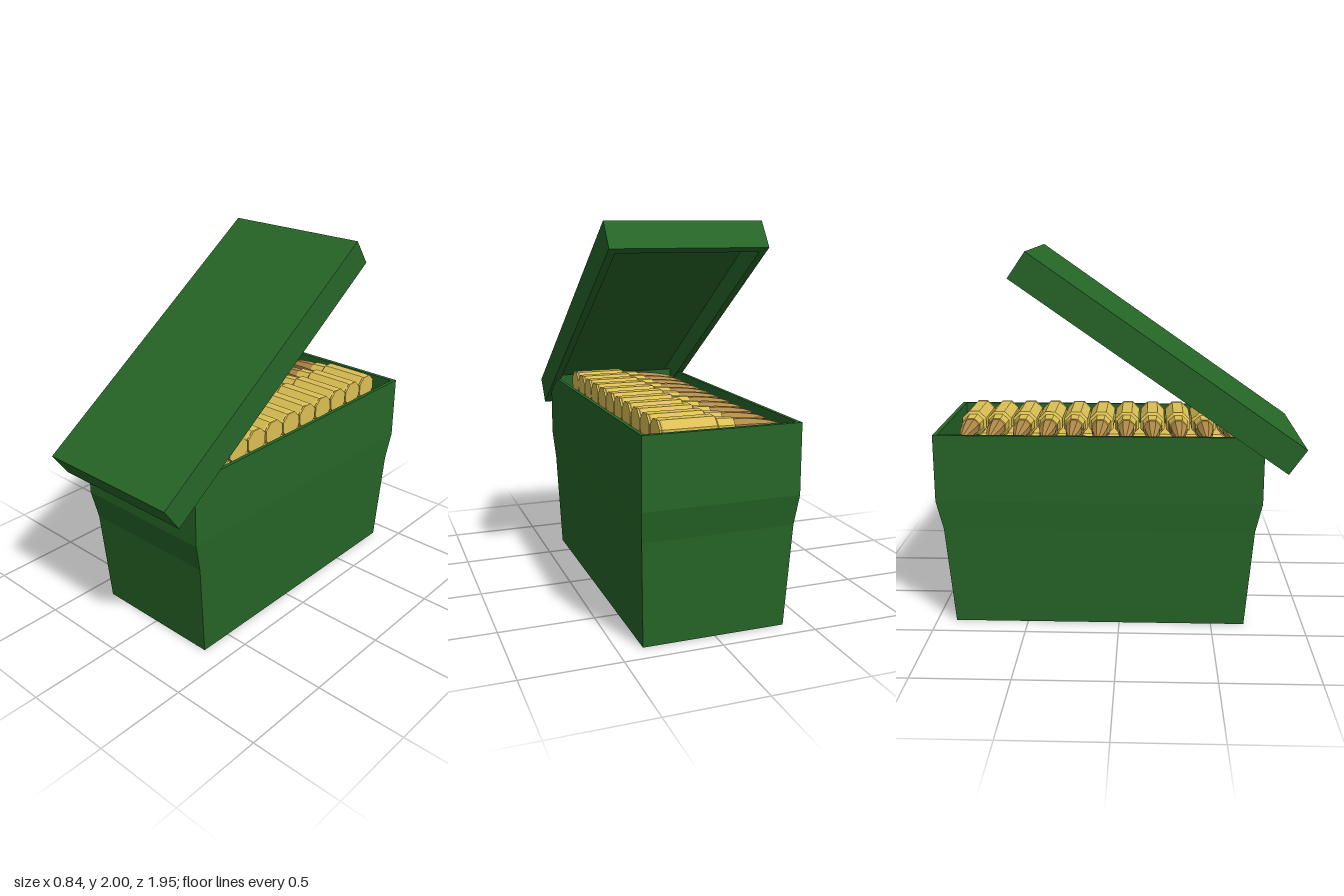
import * as THREE from 'three';

// Flat-shaded loft through rectangular sections [y, halfX, zBack, zFront], closed at both ends
function loftBox(sections) {
  const pos = [];
  const loops = sections.map(([y, x, z0, z1]) => [[-x, y, z1], [x, y, z1], [x, y, z0], [-x, y, z0]]);
  const quad = (a, b, c, d) => pos.push(...a, ...b, ...c, ...a, ...c, ...d);
  for (let i = 0; i < loops.length - 1; i++) {
    const lo = loops[i], hi = loops[i + 1];
    for (let j = 0; j < 4; j++) {
      const k = (j + 1) % 4;
      quad(lo[j], lo[k], hi[k], hi[j]);
    }
  }
  const first = loops[0], last = loops[loops.length - 1];
  quad(first[3], first[2], first[1], first[0]);
  quad(...last);
  const geo = new THREE.BufferGeometry();
  geo.setAttribute('position', new THREE.Float32BufferAttribute(pos, 3));
  geo.computeVertexNormals();
  return geo;
}

// Eight-sided turned part lying along x, with a flat facing up
function turned(points) {
  const profile = points.map(([r, y]) => new THREE.Vector2(r, y));
  return new THREE.LatheGeometry(profile, 8, Math.PI / 8).rotateZ(Math.PI / 2);
}

export function createModel() {
  const green = new THREE.MeshStandardMaterial({ name: 'greenPaint', color: 0x266627 });
  const brass = new THREE.MeshStandardMaterial({ name: 'brass', color: 0xdcc055, flatShading: true });
  const copper = new THREE.MeshStandardMaterial({ name: 'copper', color: 0xb08a48, flatShading: true });

  const model = new THREE.Group();
  model.name = 'ammunitionBox';
  const add = (parent, name, geo, mat) => {
    const mesh = new THREE.Mesh(geo, mat);
    mesh.name = name;
    parent.add(mesh);
    return mesh;
  };

  // Body: up the outside, over the thin rim, down the inside to the floor
  add(model, 'body', loftBox([
    [0, 0.373, -0.895, 0.68],
    [0.54, 0.393, -0.937, 0.722],
    [0.70, 0.405, -0.972, 0.757],
    [1.06, 0.405, -0.972, 0.757],
    [1.06, 0.385, -0.948, 0.733],
    [0.70, 0.385, -0.948, 0.733],
    [0.54, 0.37, -0.91, 0.695],
    [0.04, 0.35, -0.855, 0.64],
  ]), green);

  // Lid: hollow tray, tipped up towards the back
  const lidX = 0.42, lidZ = 0.875, lidH = 0.0805, wall = 0.04;
  const lid = add(model, 'lid', loftBox([
    [lidH - wall, lidX - wall, -lidZ + wall, lidZ - wall],
    [-lidH, lidX - wall, -lidZ + wall, lidZ - wall],
    [-lidH, lidX, -lidZ, lidZ],
    [lidH, lidX, -lidZ, lidZ],
  ]), green);
  lid.position.set(0, 1.435, 0.21);
  lid.rotation.x = 0.609;

  // Cartridges: staggered layers, noses towards the right
  const caseGeo = turned([
    [0, -0.29], [0.0725, -0.29], [0.0725, -0.28], [0.068, -0.276], [0.0725, -0.268],
    [0.0725, 0], [0.058, 0.012], [0.053, 0.1], [0.04, 0.1],
  ]);
  const bulletGeo = turned([
    [0.047, 0.09], [0.046, 0.15], [0.038, 0.22], [0.022, 0.3], [0, 0.36],
  ]);
  const pitch = 0.1433;
  for (let layer = 0; layer < 3; layer++) {
    const odd = layer % 2;
    for (let i = 0; i < 11 - odd; i++) {
      const cartridge = new THREE.Group();
      cartridge.name = 'cartridge';
      add(cartridge, 'casing', caseGeo, brass);
      add(cartridge, 'bullet', bulletGeo, copper);
      cartridge.position.set(0, 1.03 - layer * 0.125, -0.828 + (i + odd / 2) * pitch);
      model.add(cartridge);
    }
  }
  return model;
}
